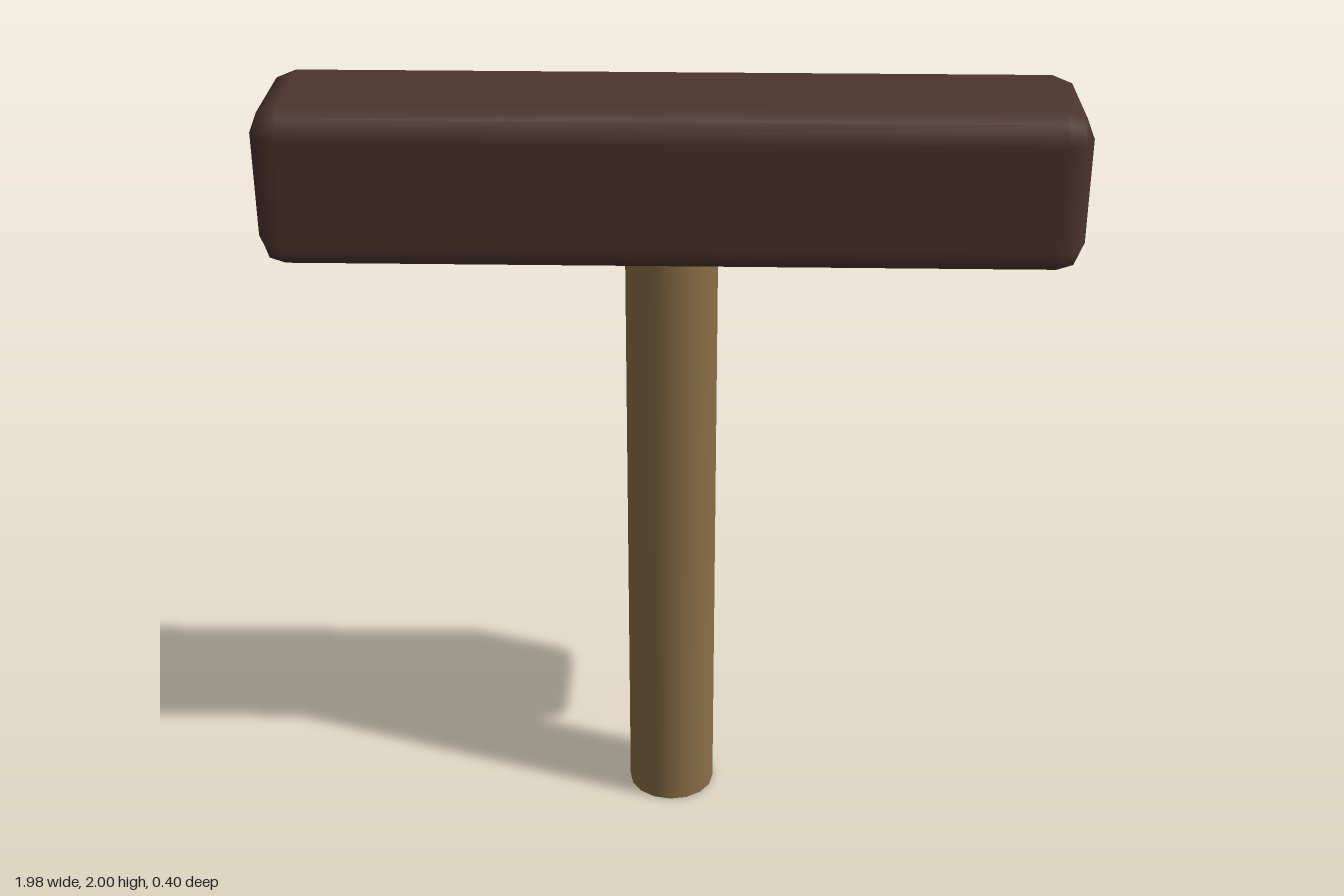
import * as THREE from 'three';
import { RoundedBoxGeometry } from 'three/addons/geometries/RoundedBoxGeometry.js';

export function createModel() {
  const model = new THREE.Group();
  model.name = 'mallet';

  const darkWood = new THREE.MeshStandardMaterial({ color: 0x4c342d });
  darkWood.name = 'dark wood';
  const lightWood = new THREE.MeshStandardMaterial({ color: 0x8b6f47 });
  lightWood.name = 'light wood';

  const add = (name, geometry, material, y) => {
    const mesh = new THREE.Mesh(geometry, material);
    mesh.name = name;
    mesh.position.y = y;
    model.add(mesh);
  };

  // Long block with softly bevelled edges
  add('head', new RoundedBoxGeometry(1.98, 0.4, 0.4, 1, 0.07), darkWood, 1.8);

  // Straight round shaft, ending just inside the head
  add('handle', new THREE.CylinderGeometry(0.115, 0.115, 1.62, 16), lightWood, 0.81);

  return model;
}
